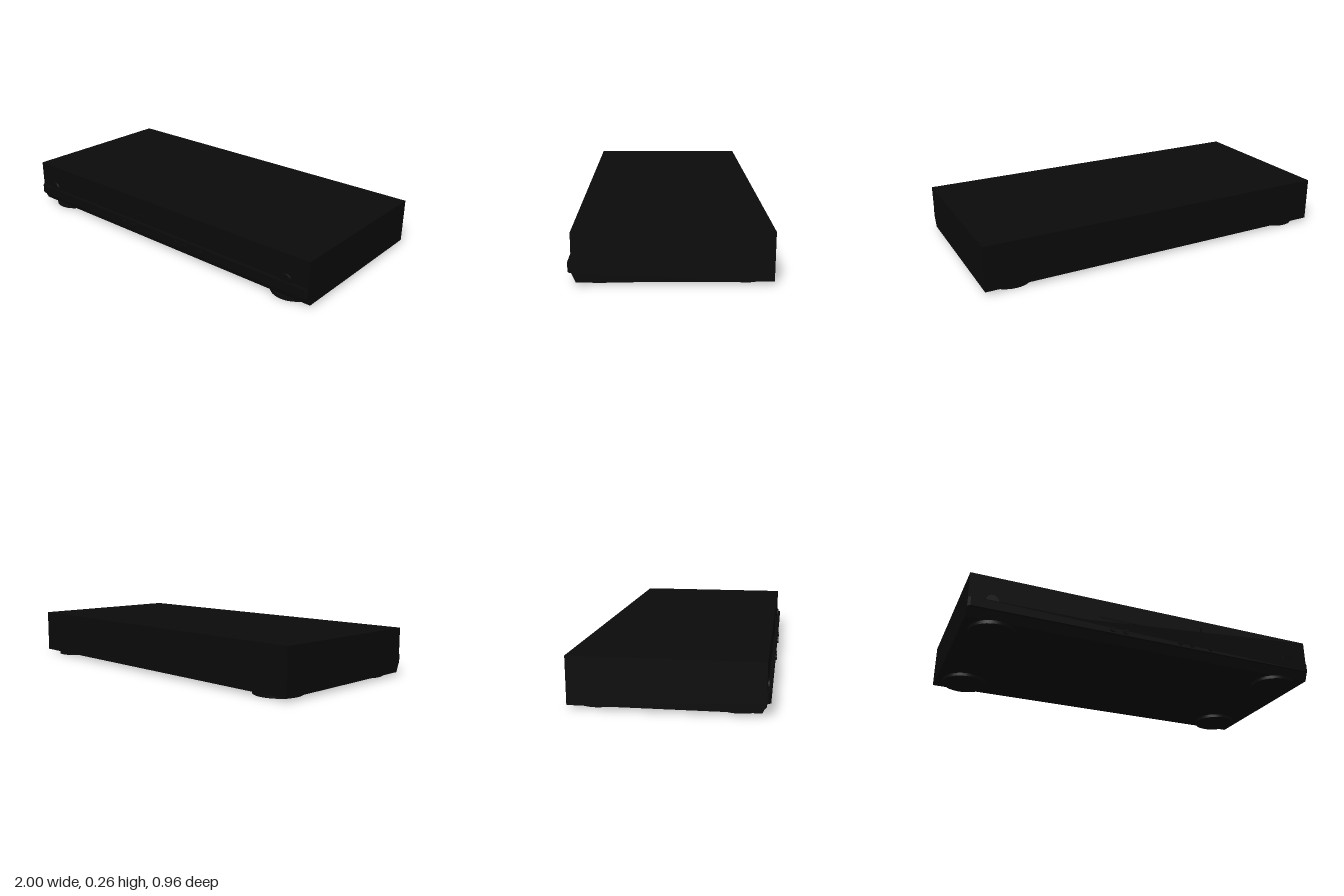
import * as THREE from 'three';

export function createModel() {
  const model = new THREE.Group();
  const material = new THREE.MeshStandardMaterial({ color: 0x0a0a0a });

  function add(name, geometry, x = 0, y = 0, z = 0) {
    const mesh = new THREE.Mesh(geometry, material);
    mesh.name = name;
    mesh.position.set(x, y, z);
    model.add(mesh);
    return mesh;
  }
  const box = (name, w, h, d, x, y, z) => add(name, new THREE.BoxGeometry(w, h, d), x, y, z);
  const shape = (points) => new THREE.Shape(points.map(([x, y]) => new THREE.Vector2(x, y)));

  // Casing: side profile (z, y) extruded across the width, lower front edge sloping back
  const casing = new THREE.ExtrudeGeometry(shape([
    [-0.48, 0.018], [0.435, 0.018], [0.455, 0.064], [0.455, 0.257], [-0.48, 0.257],
  ]), { depth: 2, bevelEnabled: false });
  casing.rotateY(-Math.PI / 2);
  casing.scale(1, 1, 1);
  casing.translate(1, 0, 0);
  add('casing', casing);

  // Control rail across the front, with chamfered ends (outline in x, -z)
  const rail = new THREE.ExtrudeGeometry(shape([
    [-1, -0.45], [-1, -0.46], [-0.987, -0.473], [0.987, -0.473], [1, -0.46], [1, -0.45],
  ]), { depth: 0.049, bevelEnabled: false });
  rail.rotateX(-Math.PI / 2);
  add('controlRail', rail, 0, 0.064, 0);

  // Round front control with a slightly narrower face
  function knob(name, x, y, radius, back, front) {
    const d = front - back;
    const g = new THREE.CylinderGeometry(radius * 0.9, radius, d, 24);
    g.rotateX(Math.PI / 2);
    add(name, g, x, y, back + d / 2);
  }
  for (const x of [-0.88, 0.87]) knob('roundSocket', x, 0.117, 0.037, 0.45, 0.463);
  for (const x of [-0.24, -0.165, 0.16, 0.23, 0.345]) knob('smallButton', x, 0.086, 0.016, 0.465, 0.48);

  // Thin slot lip and upright switch
  box('slotLip', 0.26, 0.008, 0.008, -0.18, 0.154, 0.454);
  box('uprightSwitch', 0.012, 0.064, 0.008, 0.3, 0.183, 0.454);

  // Four wide disc feet
  for (const x of [-0.84, 0.84]) {
    for (const z of [0.328, -0.352]) {
      add('foot', new THREE.CylinderGeometry(0.123, 0.123, 0.018, 40), x, 0.009, z);
    }
  }
  return model;
}
